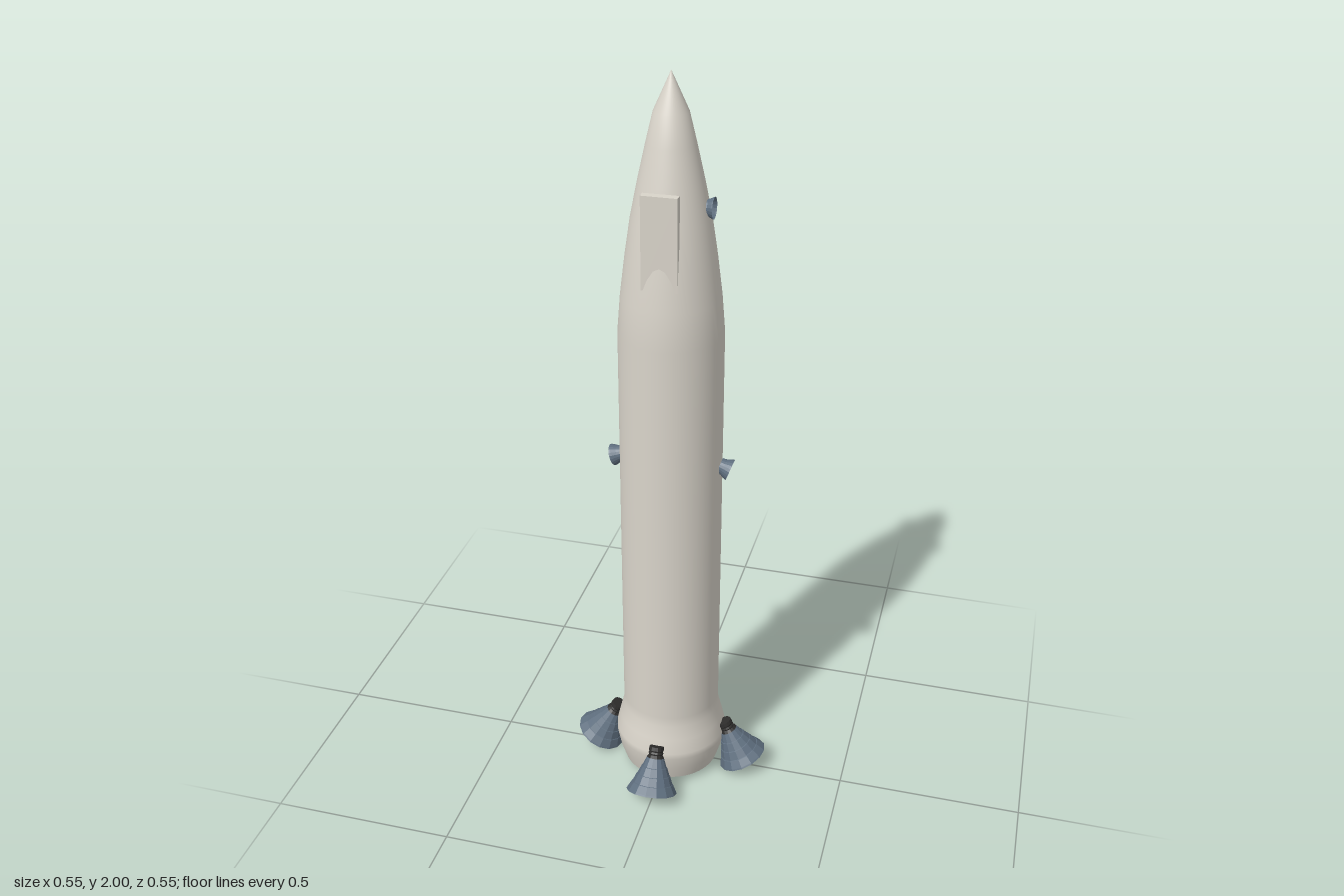
import * as THREE from 'three';

const hull = new THREE.MeshStandardMaterial({ color: 0xd9d4ca, side: THREE.DoubleSide });
hull.name = 'hullPaint';
const slate = new THREE.MeshStandardMaterial({ color: 0x5f6f7f, side: THREE.DoubleSide, flatShading: true });
slate.name = 'nozzleMetal';
const charcoal = new THREE.MeshStandardMaterial({ color: 0x2e2d2c, side: THREE.DoubleSide, flatShading: true });
charcoal.name = 'throatMetal';

function lathe(points, segments) {
  return new THREE.LatheGeometry(points.map(([r, y]) => new THREE.Vector2(r, y)), segments);
}

// Nozzle parts with the mouth at the local origin facing -y, tipped outward towards +z,
// then the whole mount is turned around the hull
function mountNozzle(name, parts, radius, height, tilt, turn) {
  const mount = new THREE.Group();
  mount.name = name;
  for (const [partName, geometry, material] of parts) {
    const mesh = new THREE.Mesh(geometry, material);
    mesh.name = name + partName;
    mesh.position.set(0, height, radius);
    mesh.rotation.x = -tilt;
    mount.add(mesh);
  }
  mount.rotation.y = turn;
  return mount;
}

export function createModel() {
  const model = new THREE.Group();
  model.name = 'rocket';

  // Hull with flared tail, open underneath, and pointed nose
  const body = new THREE.Mesh(lathe([
    [0.134, 0.018], [0.147, 0.06], [0.155, 0.1], [0.155, 0.118], [0.145, 0.16], [0.135, 0.2],
    [0.134, 0.23], [0.134, 1.35], [0.126, 1.45], [0.113, 1.555], [0.099, 1.65],
    [0.081, 1.74], [0.061, 1.83], [0.043, 1.905], [0, 2],
  ], 48), hull);
  body.name = 'hull';
  model.add(body);

  // Flat panels on the front and back of the nose
  for (const side of [1, -1]) {
    const panel = new THREE.Mesh(new THREE.BoxGeometry(0.09, 0.235, 0.021), hull);
    panel.name = side > 0 ? 'frontPanel' : 'backPanel';
    panel.position.set(0, 1.618, side * 0.102);
    model.add(panel);
  }

  // Four main engines: stepped bell and ribbed dark throat
  const bellProfile = [[0.0708, 0], [0.069, 0.004]];
  for (const [r, y] of [[0.058, 0.024], [0.047, 0.047], [0.036, 0.07]]) {
    bellProfile.push([r, y], [r - 0.002, y + 0.001]);
  }
  bellProfile.push([0.024, 0.096]);
  const bell = lathe(bellProfile, 14);
  const throat = lathe([
    [0.024, 0.096], [0.019, 0.104], [0.021, 0.108], [0.019, 0.113],
    [0.021, 0.117], [0.02, 0.127], [0, 0.127],
  ], 14);
  const engineParts = [['Bell', bell, slate], ['Throat', throat, charcoal]];
  for (let i = 0; i < 4; i++) {
    model.add(mountNozzle('mainEngine' + (i + 1), engineParts, 0.213, 0.032, 0.463, i * Math.PI / 2));
  }

  // Small side thrusters halfway up
  const thruster = lathe([[0.029, 0], [0.028, 0.004], [0.022, 0.018], [0.02, 0.03]], 20);
  const thrusterParts = [['Bell', thruster, slate]];
  model.add(mountNozzle('leftThruster', thrusterParts, 0.158, 0.975, 1.22, Math.PI / 2));
  model.add(mountNozzle('rightThruster', thrusterParts, 0.158, 0.975, 1.22, -Math.PI / 2));

  // Single thruster on the nose
  const noseThruster = lathe([[0.027, 0], [0.026, 0.003], [0.021, 0.014], [0.02, 0.02]], 20);
  model.add(mountNozzle('noseThruster', [['Bell', noseThruster, slate]], 0.106, 1.68, Math.PI / 2, Math.PI / 2));

  return model;
}
